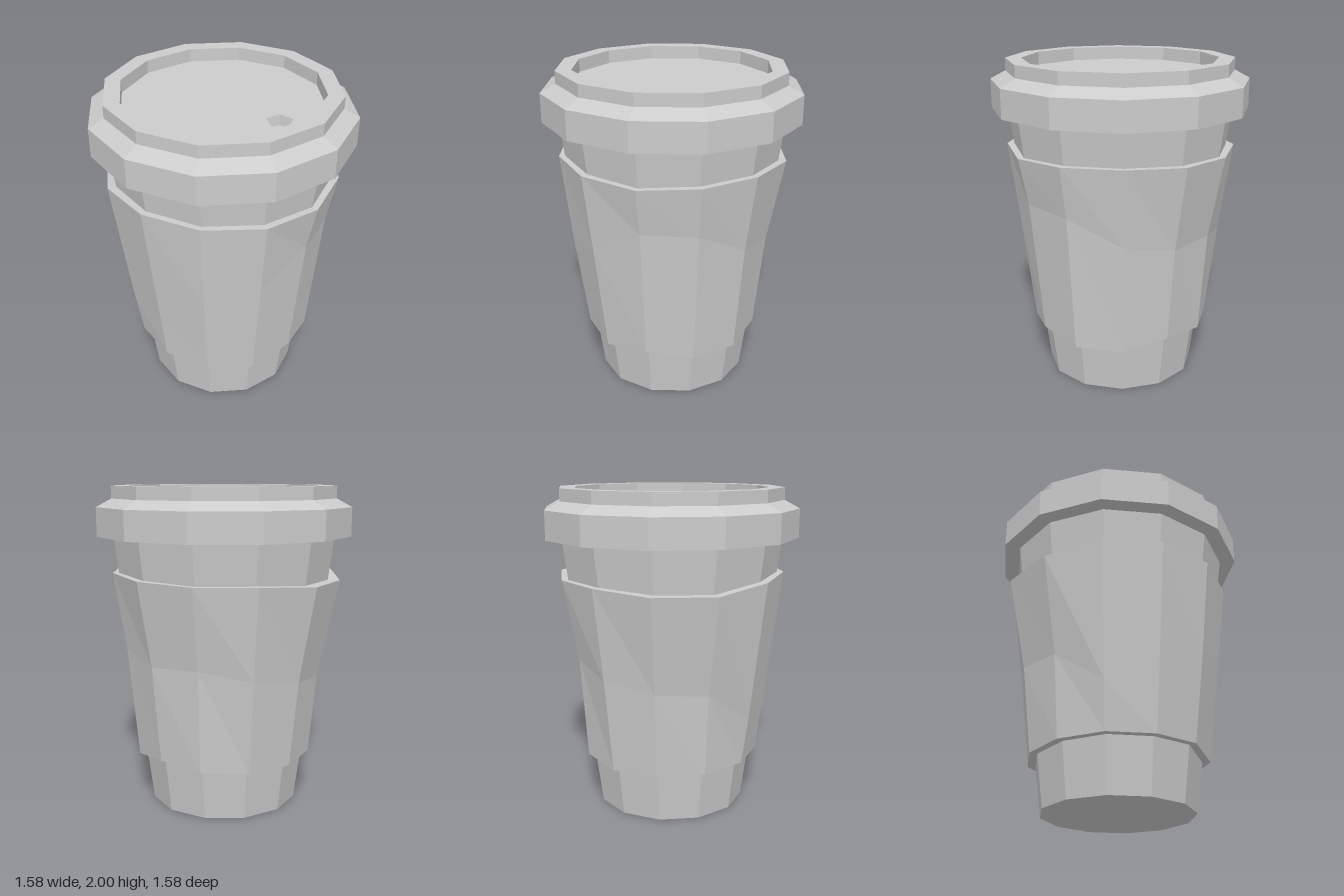
import * as THREE from 'three';

const SIDES = 12;
const material = new THREE.MeshStandardMaterial({ color: 0xcccccc, flatShading: true });

function part(name, geometry) {
  const mesh = new THREE.Mesh(geometry, material);
  mesh.name = name;
  return mesh;
}

function lathe(profile, sides = SIDES) {
  return new THREE.LatheGeometry(profile.map(([r, y]) => new THREE.Vector2(r, y)), sides);
}

const cupRadius = (y) => 0.47 + 0.13 * y;

// Closed outline of a regular polygon, first corner towards +z
function ring(sides, r, cx = 0) {
  return Array.from({ length: sides }, (_, i) => {
    const a = (i / sides) * Math.PI * 2;
    return new THREE.Vector2(cx + r * Math.sin(a), -r * Math.cos(a));
  });
}

// Hand-worn sleeve: each column has its own bottom, middle and top [radius, height]
function sleeveGeometry() {
  const bottom = [[0.56, 0.33], [0.56, 0.335], [0.56, 0.305], [0.56, 0.345], [0.57, 0.31], [0.56, 0.31],
    [0.55, 0.35], [0.56, 0.33], [0.56, 0.32], [0.56, 0.32], [0.56, 0.325], [0.56, 0.33]];
  const middle = [[0.595, 0.62], [0.635, 0.9], [0.645, 1.0], [0.64, 1.17], [0.645, 1.16], [0.625, 1.0],
    [0.61, 0.95], [0.605, 0.96], [0.63, 0.9], [0.62, 0.85], [0.605, 0.83], [0.605, 0.62]];
  const top = [[0.705, 1.49], [0.70, 1.485], [0.705, 1.475], [0.70, 1.46], [0.705, 1.475], [0.70, 1.48],
    [0.71, 1.47], [0.70, 1.46], [0.71, 1.46], [0.74, 1.44], [0.73, 1.435], [0.715, 1.475]];
  const geometry = lathe([[0.5, 0.3], [0.56, 0.3], [0.62, 0.9], [0.7, 1.45], [0.65, 1.45]]);
  const pos = geometry.attributes.position;
  for (let i = 0; i <= SIDES; i++) {
    const k = i % SIDES;
    const a = (k / SIDES) * Math.PI * 2;
    const inner = ([, y]) => [cupRadius(y) - 0.005, y];
    const column = [inner(bottom[k]), bottom[k], middle[k], top[k], inner(top[k])];
    column.forEach(([r, y], j) => pos.setXYZ(i * 5 + j, r * Math.sin(a), y, r * Math.cos(a)));
  }
  geometry.computeVertexNormals();
  return geometry;
}

export function createModel() {
  const model = new THREE.Group();
  model.name = 'coffeeCup';

  // Tapered cup with closed bottom
  model.add(part('cup', lathe([[0, 0], [cupRadius(0), 0], [cupRadius(1.71), 1.71]])));
  model.add(part('sleeve', sleeveGeometry()));

  // Lid: overhanging band, sloped shoulder, raised rim and recessed floor
  const lid = new THREE.Group();
  lid.name = 'lid';
  const floorY = 1.92;
  lid.add(part('lidRim', lathe([[0.6, 1.7], [0.79, 1.7], [0.79, 1.875], [0.697, 1.925],
    [0.697, 2], [0.6, 2], [0.6, floorY]])));

  const shape = new THREE.Shape(ring(SIDES, 0.6));
  shape.holes.push(new THREE.Path(ring(5, 0.08, 0.41)));
  const floor = part('lidFloor', new THREE.ShapeGeometry(shape).rotateX(-Math.PI / 2));
  floor.position.y = floorY;
  lid.add(floor);

  // Sipping hole sunk into the floor
  const sip = part('sipHole', lathe([[0.08, 0], [0.07, -0.06], [0, -0.06]], 5));
  sip.position.set(0.41, floorY, 0);
  lid.add(sip);
  model.add(lid);

  return model;
}
